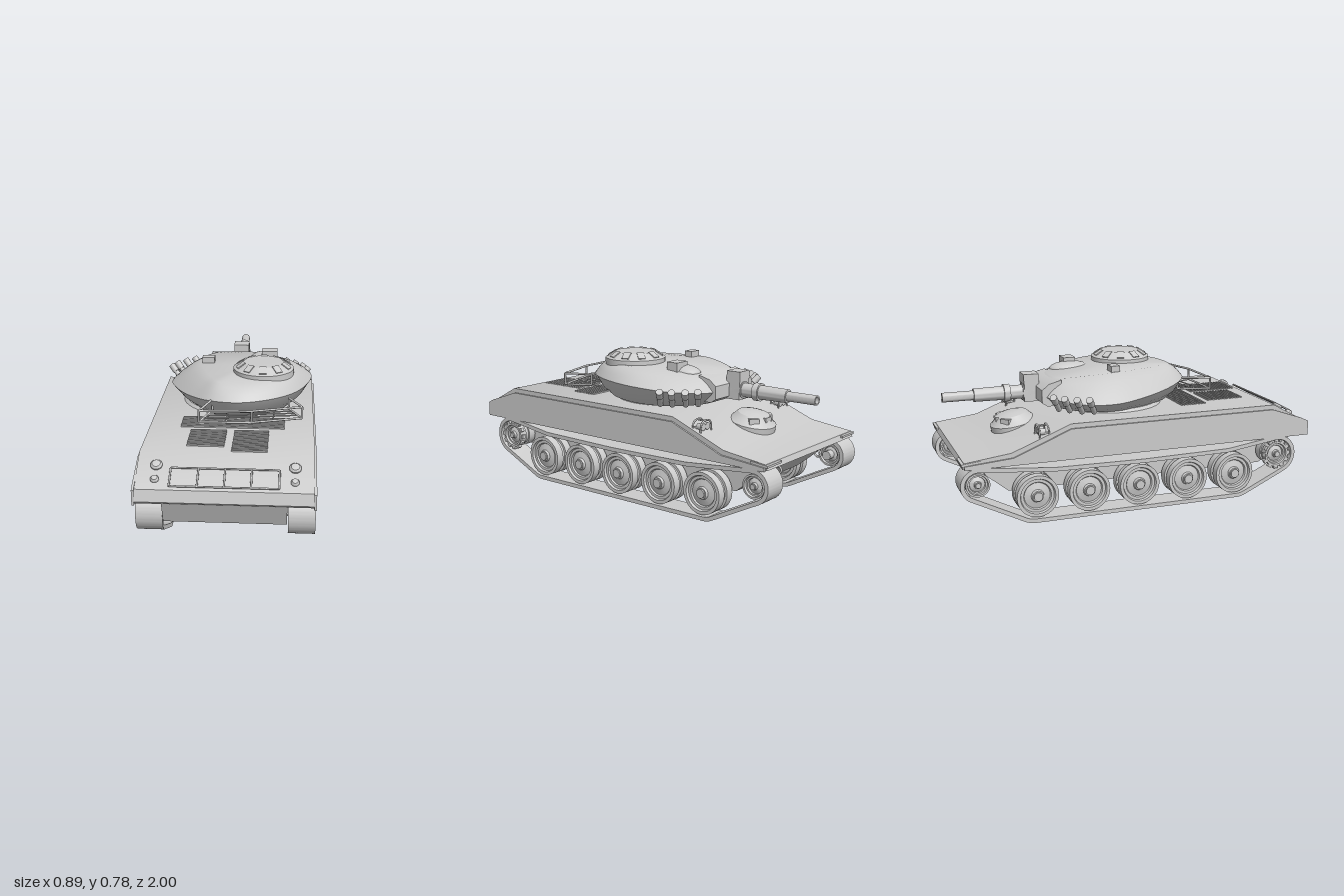
import * as THREE from 'three';
import { toCreasedNormals } from 'three/addons/utils/BufferGeometryUtils.js';

const mat = new THREE.MeshStandardMaterial({ color: 0xcccccc });
const matDouble = new THREE.MeshStandardMaterial({ color: 0xcccccc, side: THREE.DoubleSide });
const V = (x, y, z) => new THREE.Vector3(x, y, z);

export function createModel() {
  const root = new THREE.Group();
  const add = (name, geo, x = 0, y = 0, z = 0, m = mat) => {
    const mesh = new THREE.Mesh(geo, m);
    mesh.name = name;
    mesh.position.set(x, y, z);
    root.add(mesh);
    return mesh;
  };
  const box = (name, w, h, d, x, y, z) => add(name, new THREE.BoxGeometry(w, h, d), x, y, z);

  // Extrudes a (z, y) side profile across x, centred on x = 0
  const slab = (shape, width) => {
    const s = Array.isArray(shape) ? new THREE.Shape(shape.map(p => new THREE.Vector2(...p))) : shape;
    const g = new THREE.ExtrudeGeometry(s, { depth: width, bevelEnabled: false, curveSegments: 20 });
    return toCreasedNormals(g.translate(0, 0, -width / 2).rotateY(-Math.PI / 2), 0.5);
  };
  // Lathe around y from [radius, height] pairs, bottom to top
  const turned = (pts, seg = 32) =>
    toCreasedNormals(new THREE.LatheGeometry(pts.map(p => new THREE.Vector2(...p)), seg), 0.5);
  // Straight round bar between two points
  const rod = (name, a, b, r, seg = 8) => {
    const m = add(name, new THREE.CylinderGeometry(r, r, a.distanceTo(b), seg));
    m.position.copy(a).lerp(b, 0.5);
    m.quaternion.setFromUnitVectors(V(0, 1, 0), b.clone().sub(a).normalize());
    return m;
  };

  // Hull
  add('upperHull', slab([[0.985, 0.33], [1, 0.345], [0.985, 0.405], [0.78, 0.515], [-0.41, 0.515],
    [-0.73, 0.39], [-0.975, 0.36], [-0.985, 0.33]], 0.87));
  add('lowerHull', slab([[0.98, 0.331], [0.93, 0.21], [0.76, 0.145], [-0.72, 0.145], [-0.95, 0.331]], 0.61));
  for (const s of [-1, 1]) {
    add('sidePanel', slab([[1, 0.325], [1, 0.405], [0.96, 0.425], [0.77, 0.49], [-0.41, 0.49],
      [-0.72, 0.365], [-0.975, 0.345], [-0.975, 0.325]], 0.012), s * 0.439);
    box('fenderLip', 0.13, 0.012, 0.1, s * 0.375, 0.355, -0.94).rotation.x = -0.1;
  }

  // Tracks: band round a loop of [z, y, radius] circles, counter-clockwise
  const trackLoop = (o, P) => {
    const c = [[0.81, 0.225, 0.11], [0.555, 0.14, 0.14], [-0.61, 0.14, 0.14], [-0.908, 0.237, 0.092]]
      .map(([z, y, r]) => [z, y, r - o]).reverse();
    const tangent = (a, b) => Math.atan2(b[1] - a[1], b[0] - a[0])
      - Math.acos((a[2] - b[2]) / Math.hypot(b[0] - a[0], b[1] - a[1]));
    c.forEach((k, i) => {
      const start = i === 0 ? Math.PI * 0.48 : tangent(c[i - 1], k);
      const end = i === 3 ? Math.PI * 0.53 : tangent(k, c[i + 1]);
      P.absarc(k[0], k[1], k[2], start, end, false);
    });
    [[0.5, 0.292], [0, 0.285], [-0.5, 0.292]].forEach(([z, y]) => P.lineTo(z, y - o));
    P.closePath();
    return P;
  };
  const trackShape = trackLoop(0, new THREE.Shape());
  trackShape.holes.push(trackLoop(0.022, new THREE.Path()));
  const trackGeo = slab(trackShape, 0.135);

  // Wheels: dished disc mirrored about its middle plane
  const half = [[0.113, 0.012], [0.113, 0.058], [0.095, 0.058], [0.09, 0.045], [0.075, 0.045], [0.07, 0.036],
    [0.035, 0.045], [0.03, 0.058], [0.024, 0.058], [0.024, 0.066], [0, 0.066]];
  const wheelProfile = [...half.map(([r, h]) => [r, -h]).reverse(), [0.1, -0.012], [0.1, 0.012], ...half];
  const wheelGeo = turned(wheelProfile, 40).rotateZ(-Math.PI / 2);
  const endGeo = k => turned(wheelProfile.map(([r, h]) => [r * k, h]), 28).rotateZ(-Math.PI / 2);
  const sprocketGeo = endGeo(0.64), idlerGeo = endGeo(0.56);
  for (const s of [-1, 1]) {
    const x = s * 0.377;
    add('track', trackGeo, x);
    for (const z of [0.545, 0.26, -0.025, -0.31, -0.595]) {
      add('roadWheel', wheelGeo, x, 0.14, z);
      rod('axle', V(s * 0.29, 0.14, z), V(x, 0.14, z), 0.025, 12);
    }
    add('rearSprocket', sprocketGeo, x, 0.225, 0.81);
    add('frontIdler', idlerGeo, x, 0.237, -0.908);
    rod('axle', V(s * 0.29, 0.225, 0.81), V(x, 0.225, 0.81), 0.025, 12);
    rod('axle', V(s * 0.29, 0.237, -0.908), V(x, 0.237, -0.908), 0.025, 12);
    for (let i = 0; i < 12; i++) {
      const a = i * Math.PI / 6;
      const t = box('sprocketTooth', 0.02, 0.022, 0.02, x + s * 0.045, 0.225 + Math.sin(a) * 0.076, 0.81 + Math.cos(a) * 0.076);
      t.rotation.x = -a;
    }
    const hook = add('towHook', new THREE.TorusGeometry(0.018, 0.006, 6, 14), s * 0.2, 0.27, -0.905);
    hook.rotation.y = Math.PI / 2;
  }

  // Turret: smooth loops through outline points, lofted base to roof
  const loop = pts => new THREE.CatmullRomCurve3(pts.map(p => V(...p)), true, 'centripetal').getPoints(84).slice(0, 84);
  const rim = loop([[0.425, 0.635, -0.14], [0.395, 0.64, 0.06], [0.32, 0.642, 0.22], [0.2, 0.643, 0.33],
    [0.04, 0.642, 0.39], [-0.11, 0.638, 0.36], [-0.23, 0.62, 0.24], [-0.335, 0.6, 0.05], [-0.385, 0.585, -0.14],
    [-0.335, 0.585, -0.32], [-0.18, 0.6, -0.46], [0, 0.605, -0.48], [0.18, 0.605, -0.47], [0.36, 0.62, -0.34]]);
  const roof = loop([[0.31, 0.715, -0.1], [0.315, 0.72, 0.06], [0.27, 0.72, 0.17], [0.17, 0.72, 0.25],
    [0.04, 0.72, 0.29], [-0.08, 0.72, 0.28], [-0.13, 0.72, 0.19], [-0.18, 0.72, 0.05], [-0.215, 0.718, -0.1],
    [-0.2, 0.71, -0.22], [-0.12, 0.69, -0.38], [0, 0.69, -0.4], [0.12, 0.69, -0.38], [0.24, 0.705, -0.24]]);
  const under = (k, f) => rim.map(p => V(p.x * k, 0.525 + (p.y - 0.525) * f, -0.06 + (p.z + 0.06) * k));
  const between = (t, lift) => rim.map((p, i) => p.clone().lerp(roof[i], t).add(V(0, lift, 0)));
  const rings = [under(0.78, 0), under(0.9, 0.4), rim, between(0.3, 0.01), between(0.65, 0.01), roof];
  const n = 84, pos = [], idx = [];
  rings.forEach(r => r.forEach(p => pos.push(p.x, p.y, p.z)));
  for (let j = 0; j < rings.length - 1; j++) for (let i = 0; i < n; i++) {
    const a = j * n + i, b = j * n + (i + 1) % n;
    idx.push(a, a + n, b, b, a + n, b + n);
  }
  const top = pos.length / 3;
  pos.push(0.05, 0.725, -0.02, 0, 0.525, -0.06);
  for (let i = 0; i < n; i++) {
    const k = (i + 1) % n;
    idx.push((rings.length - 1) * n + i, top, (rings.length - 1) * n + k, i, k, top + 1);
  }
  const turretGeo = new THREE.BufferGeometry();
  turretGeo.setAttribute('position', new THREE.Float32BufferAttribute(pos, 3));
  turretGeo.setIndex(idx);
  add('turret', toCreasedNormals(turretGeo, 0.6));
  add('turretRing', new THREE.CylinderGeometry(0.29, 0.31, 0.02, 48), 0, 0.52, -0.06);

  // Commander cupola with vision blocks
  add('cupola', turned([[0.168, 0.7], [0.168, 0.742], [0.155, 0.748], [0.115, 0.775], [0, 0.777]], 40), 0.155, 0, 0.075);
  for (let i = 0; i < 10; i++) {
    const pivot = new THREE.Group();
    pivot.name = 'visionBlock';
    pivot.position.set(0.155, 0.759, 0.075);
    pivot.rotation.y = i * Math.PI / 5;
    const b = new THREE.Mesh(new THREE.BoxGeometry(0.04, 0.02, 0.05), mat);
    b.position.z = 0.128;
    b.rotation.x = 0.55;
    pivot.add(b);
    root.add(pivot);
  }

  // Roof fittings
  box('roofPeriscope', 0.07, 0.04, 0.05, -0.165, 0.732, -0.08);
  box('roofSight', 0.09, 0.05, 0.07, 0.18, 0.725, -0.24);
  const hood = add('sightHood', new THREE.SphereGeometry(1, 24, 12), 0.14, 0.69, -0.24);
  hood.scale.set(0.075, 0.04, 0.12);

  // Gun, mantlet and light box
  add('mantletPlate', slab([[-0.38, 0.55], [-0.38, 0.69], [-0.45, 0.672], [-0.49, 0.64], [-0.49, 0.57], [-0.46, 0.55]], 0.34));
  box('mantletBlock', 0.09, 0.1, 0.09, 0, 0.605, -0.51);
  add('gun', turned([[0, 0.48], [0.046, 0.48], [0.046, 0.56], [0.038, 0.56], [0.038, 0.63], [0.048, 0.63],
    [0.048, 0.665], [0.038, 0.665], [0.036, 0.83], [0.026, 0.83], [0.026, 1], [0.018, 1], [0.018, 0.93], [0, 0.93]])
    .rotateX(-Math.PI / 2), 0, 0.605, 0);
  box('lightBox', 0.09, 0.055, 0.085, 0, 0.68, -0.515);

  // Smoke launchers on the turret's front corners
  for (const s of [-1, 1]) {
    [[0.335, -0.25], [0.31, -0.31], [0.265, -0.365], [0.215, -0.41]].forEach(([x, z]) => {
      const a = V(s * x, 0.54, z), b = V(s * (x + 0.065), 0.615, z - 0.045);
      rod('smokeLauncher', a, b, 0.015, 14);
      rod('smokeLauncherCap', a.clone().lerp(b, 0.7), a.clone().lerp(b, 1.15), 0.019, 14);
    });
  }

  // Driver hatch dome on the front slope
  const hatch = add('driverHatch', turned([[0.13, -0.05], [0.13, 0.015], [0.115, 0.025], [0.085, 0.06], [0.05, 0.07], [0, 0.072]]), 0, 0.43, -0.61);
  hatch.rotation.x = -0.18;
  for (let i = -1; i <= 1; i++) {
    box('driverPeriscope', 0.055, 0.028, 0.03, i * 0.075, 0.462, -0.7 + Math.abs(i) * 0.03).rotation.y = -i * 0.7;
  }

  // Headlight clusters with guards
  for (const s of [-1, 1]) {
    for (const d of [-0.018, 0.018]) {
      const lamp = add('headlight', new THREE.CylinderGeometry(0.019, 0.016, 0.035, 16), s * 0.37 + d, 0.475, -0.555);
      lamp.rotation.x = -Math.PI / 2;
    }
    box('headlightBracket', 0.07, 0.04, 0.025, s * 0.37, 0.455, -0.53);
    for (const z of [-0.575, -0.525]) {
      const hoop = new THREE.CatmullRomCurve3([[-0.045, 0.43], [-0.043, 0.485], [-0.025, 0.505], [0.025, 0.505],
        [0.043, 0.485], [0.045, 0.43]].map(([x, y]) => V(x, y, 0)));
      add('headlightGuard', new THREE.TubeGeometry(hoop, 20, 0.005, 6), s * 0.37, 0, z);
    }
    rod('headlightGuardBar', V(s * 0.37, 0.505, -0.575), V(s * 0.37, 0.505, -0.525), 0.005, 6);
  }

  // Stowage basket behind the turret
  const basket = [[-0.11, 0.33], [-0.165, 0.51], [0.11, 0.5], [0.37, 0.42], [0.3, 0.28]];
  basket.forEach(([x, z], i) => {
    rod('basketPost', V(x, 0.575, z), V(x, 0.637, z), 0.006);
    if (i < 4) for (const y of [0.575, 0.637]) rod('basketRail', V(x, y, z), V(basket[i + 1][0], y, basket[i + 1][1]), 0.006);
  });
  for (let i = 1; i < 4; i++) rod('basketFloorBar', V(-0.11 - i * 0.012, 0.575, 0.33 + i * 0.042), V(0.31 + i * 0.01, 0.575, 0.29 + i * 0.03), 0.004);
  for (const x of [-0.03, 0.1, 0.22]) rod('basketBrace', V(x, 0.55, 0.29), V(x, 0.575, x > 0.15 ? 0.46 : 0.5), 0.004);

  // Engine deck grilles
  const grille = (x0, x1, z0, z1) => {
    const count = Math.round((z1 - z0) / 0.018);
    for (let i = 0; i <= count; i++) {
      box('grilleSlat', x1 - x0, 0.008, 0.009, (x0 + x1) / 2, 0.518, z0 + (z1 - z0) * i / count);
    }
  };
  grille(-0.21, -0.02, 0.48, 0.69);
  grille(0.02, 0.2, 0.48, 0.75);
  grille(-0.27, 0.28, 0.29, 0.43);

  // Rear slope: lamps and guard rail
  const slopeZ = y => 0.78 + (0.515 - y) * 1.864;
  for (const s of [-1, 1]) {
    [[0.34, 0.477, 0.03], [0.34, 0.436, 0.021]].forEach(([x, y, r]) => {
      const lamp = add('rearLamp', turned([[r, -0.01], [r, 0.012], [r * 0.7, 0.022], [0, 0.026]], 20), s * x, y - 0.006, slopeZ(y));
      lamp.rotation.x = 0.49;
    });
  }
  const railPoint = (x, y) => V(x, y + 0.016, slopeZ(y) + 0.008);
  for (const y of [0.463, 0.41]) rod('rearRail', railPoint(-0.265, y), railPoint(0.265, y), 0.005);
  for (const x of [-0.265, -0.13, 0, 0.13, 0.265]) rod('rearRailPost', railPoint(x, 0.41), railPoint(x, 0.463), 0.005);

  return root;
}
